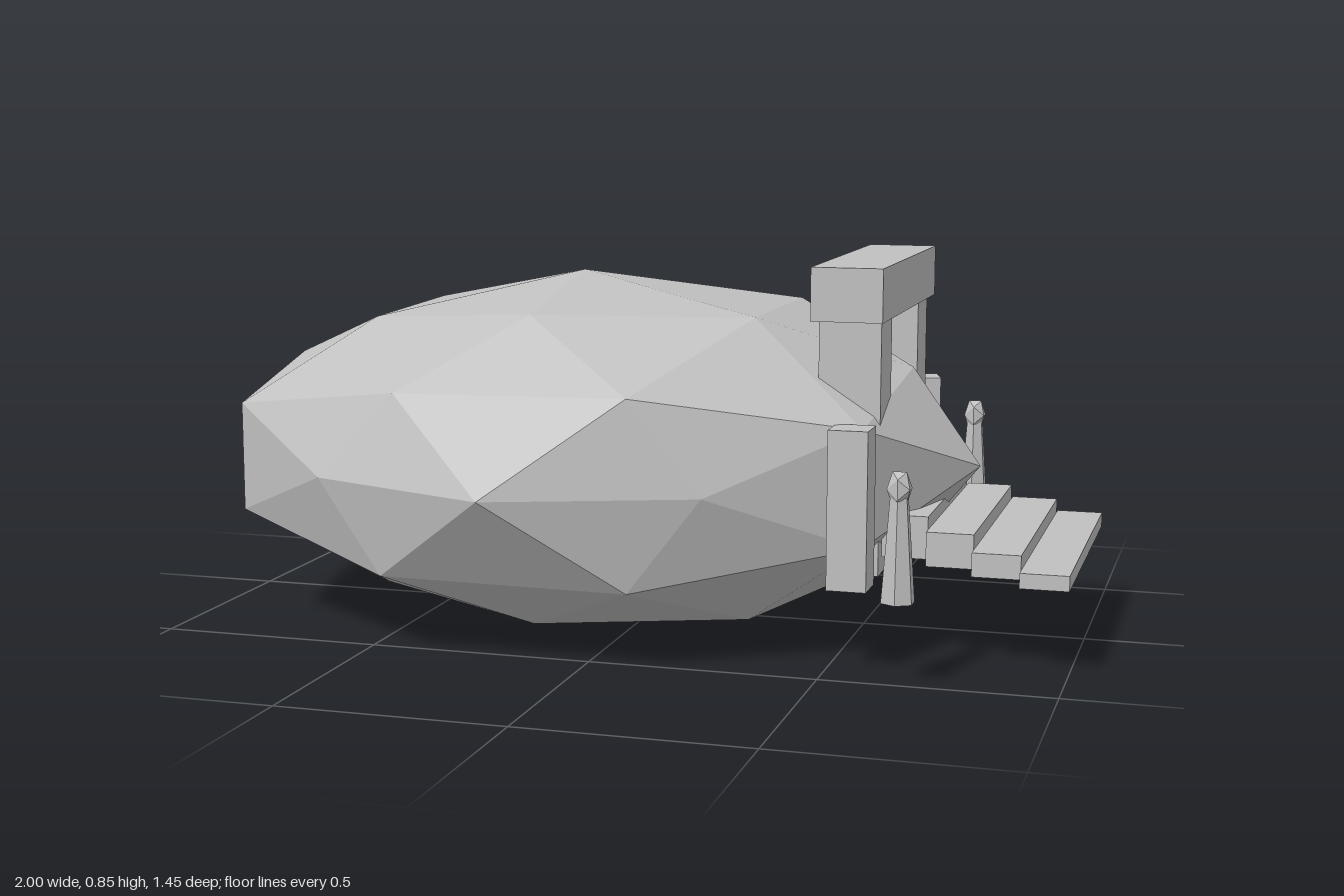
import * as THREE from 'three';

export function createModel() {
  const group = new THREE.Group();
  const stone = new THREE.MeshStandardMaterial({ color: 0xc0c0c0 });
  stone.name = 'greyStone';
  stone.flatShading = true;

  const add = (name, geometry, x = 0, y = 0, z = 0) => {
    const mesh = new THREE.Mesh(geometry, stone);
    mesh.name = name;
    mesh.position.set(x, y, z);
    group.add(mesh);
    return mesh;
  };
  // box from its lower and upper limits
  const block = (name, x0, x1, y0, y1, z0, z1) =>
    add(name, new THREE.BoxGeometry(x1 - x0, y1 - y0, z1 - z0), (x0 + x1) / 2, (y0 + y1) / 2, (z0 + z1) / 2);

  // boulder: faceted ball, each corner pushed in or out along its direction
  const bumps = [
    [-1, 0, 0, 0.943], [1, 0, 0, 1.057], [0, 1, 0, 1.045], [0, -1, 0, 0.95],
    [0, 0, 1, 1.03], [0, 0, -1, 1.042],
    [-0.851, 0.526, 0, 0.96], [0.851, 0.526, 0, 1.035], [0.851, -0.526, 0, 1.01],
    [0.526, 0, -0.851, 1.05], [-0.526, 0, -0.851, 1.05],
    [-0.526, 0, 0.851, 0.93], [0.526, 0, 0.851, 0.94],
    [0, 0.851, 0.526, 1.03], [0, 0.851, -0.526, 1.03], [0, -0.851, -0.526, 0.95],
    [0.5, 0.809, 0.309, 1.06], [0.5, 0.809, -0.309, 1.06],
    [-0.5, 0.809, 0.309, 0.98], [-0.5, -0.809, 0.309, 0.95], [-0.5, -0.809, -0.309, 0.95],
    [0.5, -0.809, 0.309, 1.03], [0.5, -0.809, -0.309, 1.03],
    [0.309, 0.5, 0.809, 1.03], [0.309, 0.5, -0.809, 1.05], [-0.309, 0.5, 0.809, 0.95],
    [-0.309, 0.5, -0.809, 1.03], [0.309, -0.5, 0.809, 1.03], [-0.309, -0.5, 0.809, 1.02],
    [0.809, 0.309, 0.5, 1.03], [0.809, 0.309, -0.5, 1.03],
    [0.809, -0.309, 0.5, 1.03], [0.809, -0.309, -0.5, 1.03],
  ];
  const rock = new THREE.IcosahedronGeometry(1, 1).rotateX(Math.PI / 2);
  const pos = rock.attributes.position;
  const v = new THREE.Vector3();
  for (let i = 0; i < pos.count; i++) {
    v.fromBufferAttribute(pos, i);
    const bump = bumps.find(([x, y, z]) => v.x * x + v.y * y + v.z * z > 0.99);
    v.multiplyScalar(bump ? bump[3] : 1);
    pos.setXYZ(i, v.x * 0.88, v.y * 0.4, v.z * 0.7);
  }
  rock.computeVertexNormals();
  add('boulder', rock, -0.17, 0.38, 0);

  // gateway set into the boulder
  block('lintel', 0.44, 0.595, 0.73, 0.845, -0.325, 0.33);
  block('doorPanel', 0.47, 0.5, 0.18, 0.69, -0.17, 0.17);
  block('leftPost', 0.45, 0.585, 0.178, 0.73, -0.277, -0.16);
  block('rightPost', 0.45, 0.585, 0.178, 0.73, 0.168, 0.287);

  // stairs, widening and dropping outwards
  const steps = [
    [0.59, 0.69, 0.22, 0.313, 0.275],
    [0.69, 0.792, 0.21, 0.285, 0.3],
    [0.792, 0.896, 0.2, 0.252, 0.328],
    [0.896, 1, 0.187, 0.22, 0.352],
  ];
  steps.forEach(([x0, x1, y0, y1, w], i) => block('step' + (i + 1), x0, x1, y0, y1, -w, w));

  // square standing stones, one slightly turned
  block('frontStandingStone', 0.507, 0.592, 0.18, 0.52, 0.368, 0.455);
  block('backStandingStone', 0.508, 0.592, 0.18, 0.52, -0.472, -0.388).rotation.y = 0.28;

  // small tapered statues with faceted heads
  for (const s of [1, -1]) {
    add('statueBody', new THREE.CylinderGeometry(0.02, 0.037, 0.22, 6), 0.67, 0.29, s * 0.515);
    add('statueHead', new THREE.IcosahedronGeometry(0.028, 0).scale(1, 1.45, 1), 0.67, 0.417, s * 0.515);
  }
  return group;
}
